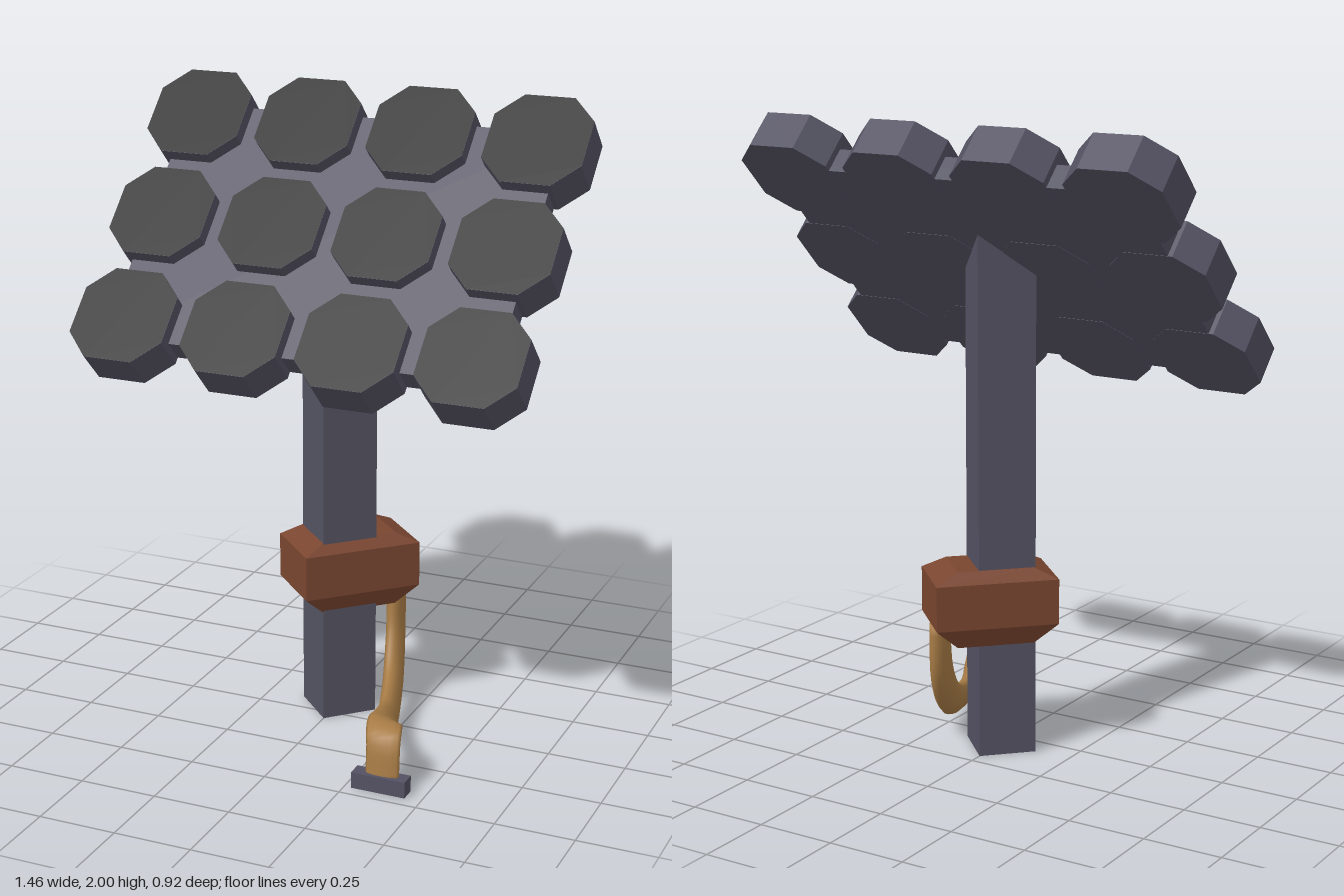
import * as THREE from 'three';

const mat = (color, flatShading = true) => new THREE.MeshStandardMaterial({ color, flatShading });
const GREY = mat(0x545262), BLACK = mat(0x101010), BROWN = mat(0x7a4630), GOLD = mat(0xa87c46, false);

function add(parent, name, geometry, material) {
  const mesh = new THREE.Mesh(geometry, material);
  mesh.name = name;
  parent.add(mesh);
  return mesh;
}

// Closed skin through rings of points (each ring counter-clockwise about the path), capped at both ends
function loft(rings) {
  const n = rings[0].length, last = (rings.length - 1) * n, index = [];
  for (let j = 0; j < rings.length - 1; j++) {
    for (let i = 0; i < n; i++) {
      const a = j * n + i, b = j * n + (i + 1) % n;
      index.push(a, b, b + n, a, b + n, a + n);
    }
  }
  for (let i = 1; i < n - 1; i++) index.push(0, i + 1, i, last, last + i, last + i + 1);
  const g = new THREE.BufferGeometry().setFromPoints(rings.flat());
  g.setIndex(index);
  g.computeVertexNormals();
  return g;
}

// Octagonal tiles on a thinner backing plate, tilted 45 degrees
function createPanel() {
  const panel = new THREE.Group();
  panel.name = 'tiltedPanel';
  const depth = 0.129, r = 0.159, e = 0.08, pitch = 0.38;
  const octagon = new THREE.Shape([
    [r, -e], [r, e], [e, r], [-e, r], [-r, e], [-r, -e], [-e, -r], [e, -r],
  ].map(([x, y]) => new THREE.Vector2(x, y)));
  const body = new THREE.ExtrudeGeometry(octagon, { depth, bevelEnabled: false });
  const face = new THREE.ShapeGeometry(octagon);
  for (let row = -1; row <= 1; row++) {
    for (let col = -1.5; col <= 1.5; col++) {
      add(panel, 'tileBody', body, GREY).position.set(col * pitch, row * pitch, 0);
      add(panel, 'tileFace', face, BLACK).position.set(col * pitch, row * pitch, depth + 0.001);
    }
  }
  const plate = new THREE.BoxGeometry(1.27, 0.876, 0.084);
  add(panel, 'backingPlate', plate, GREY).position.z = 0.043;
  panel.rotation.x = -Math.PI / 4;
  panel.position.set(0, 1.531, -0.081);
  return panel;
}

// Square post set corner-on, its top cut to the slope of the panel
function createPost() {
  const z0 = -0.078;
  const g = new THREE.CylinderGeometry(0.128, 0.128, 1, 4).translate(0, 0.5, z0);
  const p = g.attributes.position;
  for (let i = 0; i < p.count; i++) if (p.getY(i) > 0.5) p.setY(i, 1.46 - p.getZ(i));
  g.computeVertexNormals();
  return g;
}

// Chamfered block around the post: [height, half length, half depth] for each level
function createCollar() {
  const s = Math.SQRT1_2;
  const levels = [[0.365, 0.122, 0.09], [0.43, 0.1945, 0.12], [0.575, 0.1945, 0.12], [0.61, 0.122, 0.09]];
  return loft(levels.map(([y, a, b]) =>
    [[-a, b], [a, b], [a, -b], [-a, -b]].map(([u, v]) =>
      new THREE.Vector3(0.0225 + s * (u + v), y, -0.1075 + s * (v - u)))));
}

// Twisting flattened strap: [x, y, z, half width, half thickness, twist]
function createStrap() {
  const stations = [
    [0.148, 0.42, -0.205, 0.042, 0.028, 0],
    [0.157, 0.24, -0.18, 0.052, 0.028, 0],
    [0.19, 0.12, -0.08, 0.055, 0.03, 0.1],
    [0.245, 0.085, 0.09, 0.05, 0.03, 0.35],
    [0.3, 0.13, 0.24, 0.052, 0.02, 1],
    [0.337, 0.178, 0.35, 0.055, 0.014, 1.5],
    [0.36, 0.16, 0.415, 0.055, 0.015, 1.57],
    [0.365, 0.03, 0.437, 0.055, 0.015, 1.57],
  ];
  const path = new THREE.CatmullRomCurve3(stations.map(([x, y, z]) => new THREE.Vector3(x, y, z)));
  const rings = [], steps = 35, sides = 12;
  for (let k = 0; k <= steps; k++) {
    const t = k / steps, f = t * (stations.length - 1);
    const j = Math.min(Math.floor(f), stations.length - 2);
    const [w, h, twist] = [3, 4, 5].map(c => THREE.MathUtils.lerp(stations[j][c], stations[j + 1][c], f - j));
    const centre = path.getPoint(t), tangent = path.getTangent(t);
    const side = new THREE.Vector3(1, 0, 0).projectOnPlane(tangent).normalize();
    const wide = tangent.clone().cross(side).multiplyScalar(Math.cos(twist)).addScaledVector(side, -Math.sin(twist));
    const thin = tangent.clone().cross(wide);
    rings.push(Array.from({ length: sides }, (_, i) => {
      const a = i / sides * Math.PI * 2;
      return centre.clone().addScaledVector(wide, w * Math.cos(a)).addScaledVector(thin, h * Math.sin(a));
    }));
  }
  return loft(rings);
}

export function createModel() {
  const model = new THREE.Group();
  model.name = 'panelOnPost';
  model.add(createPanel());
  add(model, 'post', createPost(), GREY);
  add(model, 'collar', createCollar(), BROWN);
  add(model, 'strap', createStrap(), GOLD);
  add(model, 'strapFoot', new THREE.BoxGeometry(0.175, 0.052, 0.052), GREY).position.set(0.36, 0.026, 0.434);
  return model;
}
